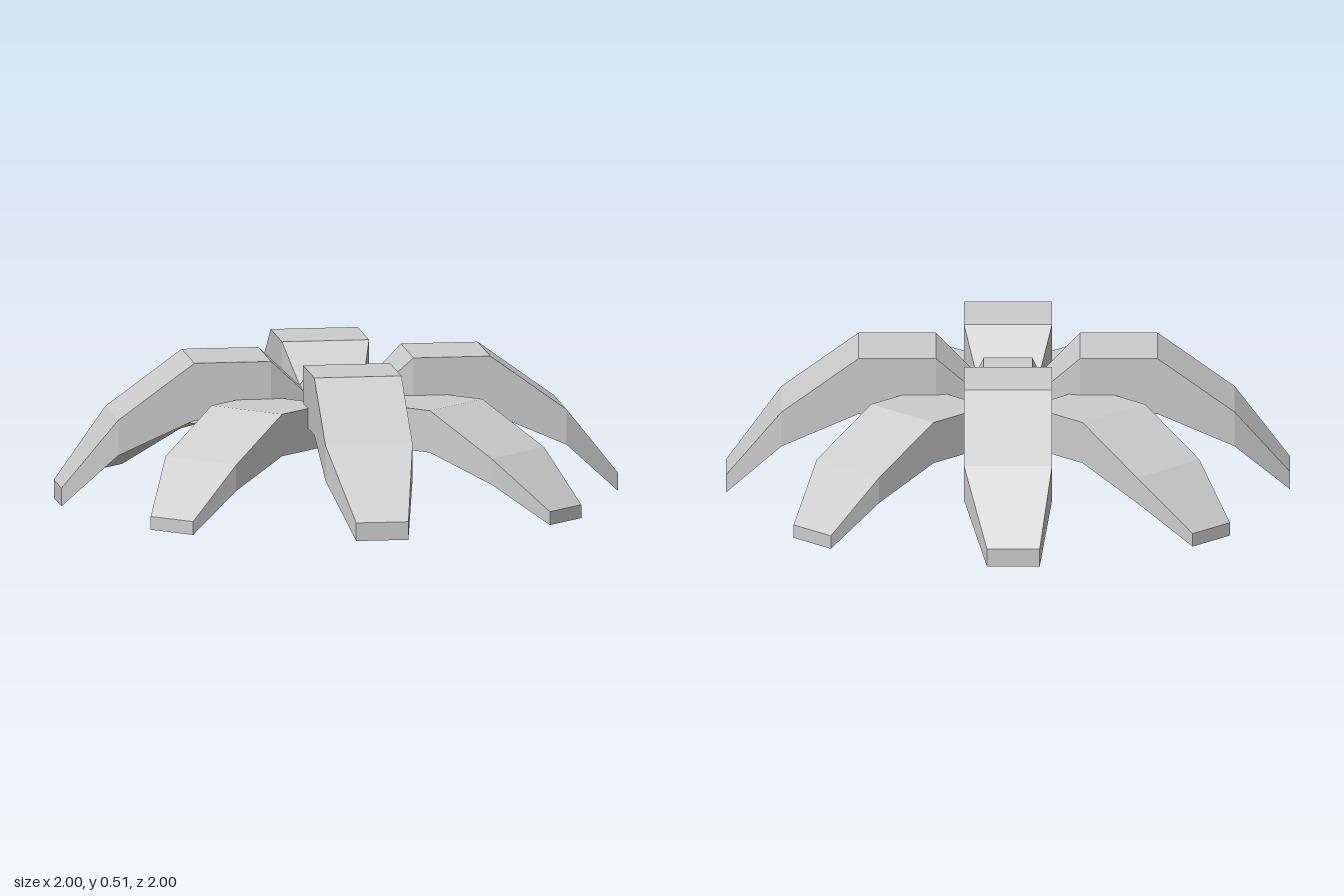
import * as THREE from 'three';

// cross-sections along an arm: distance out, x left, x right, y bottom, y top
const SECTIONS = [
  [0.113, -0.113, 0.113, 0.255, 0.375],
  [0.255, -0.156, 0.156, 0.305, 0.51],
  [0.53, -0.156, 0.156, 0.305, 0.51],
  [0.803, -0.156, 0.156, 0.185, 0.312],
  [1.0, -0.075, 0.112, 0, 0.065],
];

function flat(geometry) {
  const g = geometry.index ? geometry.toNonIndexed() : geometry;
  g.computeVertexNormals();
  return g;
}

// loft four-cornered sections into one bent, tapering arm
function armGeometry() {
  const points = [];
  const index = [];
  for (const [z, x0, x1, y0, y1] of SECTIONS) {
    points.push(x0, y0, z, x1, y0, z, x1, y1, z, x0, y1, z);
  }
  const quad = (a, b, c, d) => index.push(a, b, c, a, c, d);
  const last = (SECTIONS.length - 1) * 4;
  for (let i = 0; i < last; i += 4) {
    for (let j = 0; j < 4; j++) {
      const k = (j + 1) % 4;
      quad(i + j, i + k, i + 4 + k, i + 4 + j);
    }
  }
  quad(last, last + 1, last + 2, last + 3); // tip
  quad(3, 2, 1, 0); // inner end
  const g = new THREE.BufferGeometry();
  g.setAttribute('position', new THREE.Float32BufferAttribute(points, 3));
  g.setIndex(index);
  return flat(g);
}

// square block, tapering from one half-width to another
function blockGeometry(bottom, top, y0, y1) {
  const g = new THREE.CylinderGeometry(top * Math.SQRT2, bottom * Math.SQRT2, y1 - y0, 4);
  g.rotateY(Math.PI / 4);
  g.translate(0, (y0 + y1) / 2, 0);
  return flat(g);
}

export function createModel() {
  const model = new THREE.Group();
  model.name = 'eightArmedPlant';
  const grey = new THREE.MeshStandardMaterial({ color: 0xcccccc });
  grey.name = 'grey';

  const arm = armGeometry();
  const core = blockGeometry(0.113, 0.113, 0.255, 0.375);
  const cap = blockGeometry(0.113, 0.086, 0.375, 0.44);

  // one whorl of four arms around a square core
  function whorl(name, turn, height) {
    const group = new THREE.Group();
    group.name = name;
    group.rotation.y = turn;
    group.scale.y = height;
    const add = (geometry, part, angle = 0) => {
      const mesh = new THREE.Mesh(geometry, grey);
      mesh.name = part;
      mesh.rotation.y = angle;
      group.add(mesh);
    };
    add(core, 'core');
    add(cap, 'coreCap');
    for (let i = 0; i < 4; i++) add(arm, 'arm' + (i + 1), i * Math.PI / 2);
    model.add(group);
  }

  whorl('upperWhorl', Math.PI / 4, 1);
  whorl('lowerWhorl', 0, 0.735);
  return model;
}
